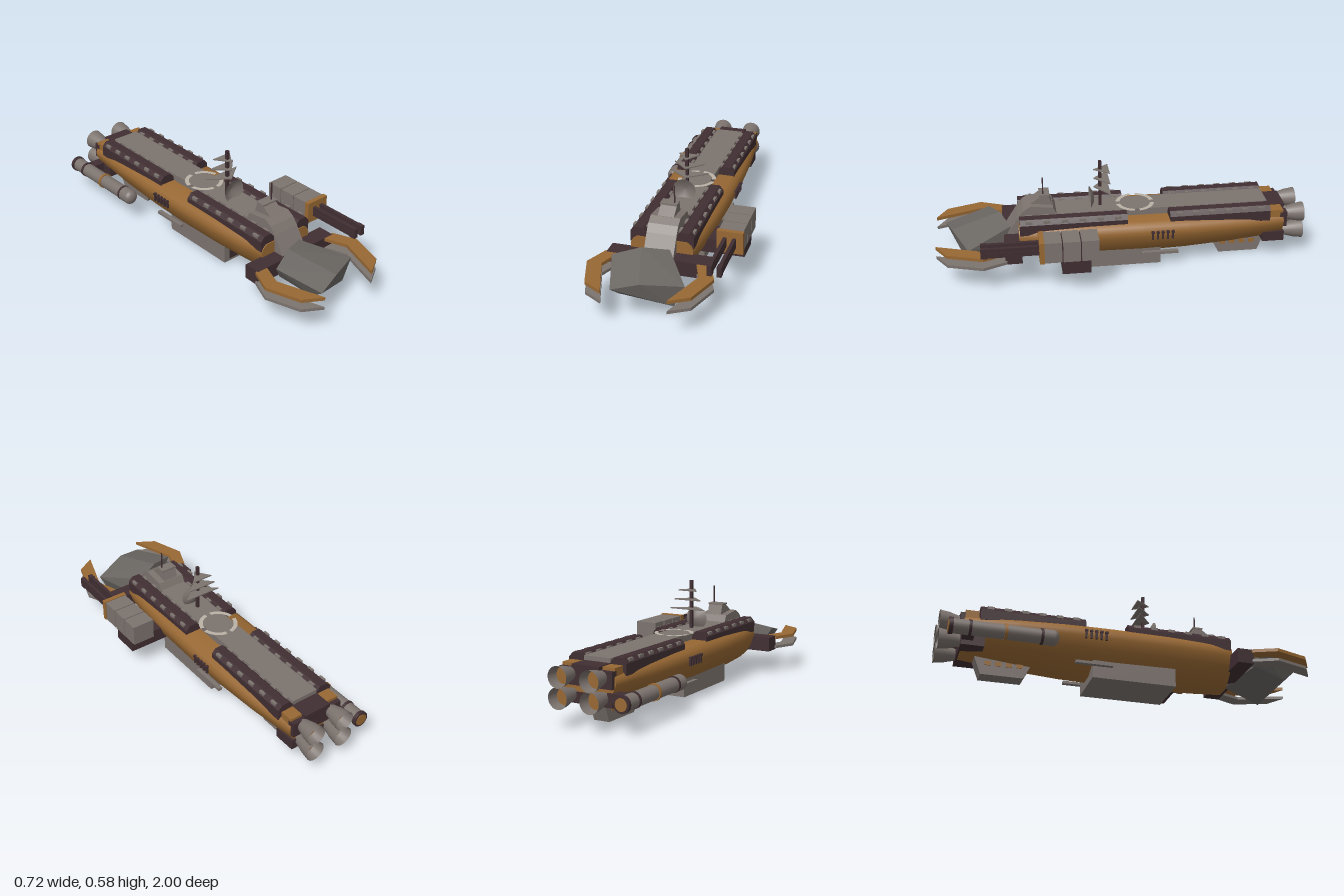
import * as THREE from 'three';
import { toCreasedNormals } from 'three/addons/utils/BufferGeometryUtils.js';
import { ConvexGeometry } from 'three/addons/geometries/ConvexGeometry.js';

const mat = (name, color, side = THREE.FrontSide) => {
  const m = new THREE.MeshStandardMaterial({ color, side });
  m.name = name;
  return m;
};

export function createModel() {
  const gold = mat('ochre', 0x986833);
  const dark = mat('darkBrown', 0x402e32);
  const grey = mat('warmGrey', 0x7c736e, THREE.DoubleSide);
  const stone = mat('noseGrey', 0x6b6763);
  const pale = mat('paleMarking', 0xbab2a6);

  const model = new THREE.Group();
  model.name = 'spaceship';
  const ship = new THREE.Group(); // symmetric parts around the hull axis
  ship.name = 'hullGroup';
  ship.position.x = -0.036;
  model.add(ship);

  const add = (parent, name, geo, material) => {
    const m = new THREE.Mesh(geo, material);
    m.name = name;
    parent.add(m);
    return m;
  };
  // Box given by its extents on each axis
  const box = (parent, name, material, [x0, x1], [y0, y1], [z0, z1]) => {
    const m = add(parent, name, new THREE.BoxGeometry(x1 - x0, y1 - y0, z1 - z0), material);
    m.position.set((x0 + x1) / 2, (y0 + y1) / 2, (z0 + z1) / 2);
    return m;
  };
  const extrude = (pts, depth) => new THREE.ExtrudeGeometry(
    new THREE.Shape(pts.map(p => new THREE.Vector2(...p))), { depth, bevelEnabled: false }
  ).translate(0, 0, -depth / 2);
  const sideProfile = (pts, width) => extrude(pts, width).rotateY(-Math.PI / 2); // points (z, y)
  const planProfile = (pts, height) => extrude(pts, height).rotateX(Math.PI / 2); // points (x, z)
  const cylZ = (parent, name, material, r, z0, z1, x, y) => {
    const m = add(parent, name, new THREE.CylinderGeometry(r, r, z1 - z0, 24).rotateX(Math.PI / 2), material);
    m.position.set(x, y, (z0 + z1) / 2);
    return m;
  };

  // Main hull lofted along z: [z, width scale, bottom, top]
  const half = [[0.045, 0], [0.09, 0.09], [0.14, 0.26], [0.175, 0.45], [0.197, 0.68], [0.2, 0.8], [0.187, 0.92], [0.16, 1]];
  const section = [...half, ...half.map(([x, y]) => [-x, y]).reverse()];
  const stations = [[0.56, 0.82, 0.07, 0.285], [0.4, 0.92, 0.062, 0.287], [0.2, 0.98, 0.056, 0.288], [-0.1, 1, 0.053, 0.288],
    [-0.35, 0.99, 0.06, 0.286], [-0.6, 0.93, 0.076, 0.28], [-0.88, 0.8, 0.102, 0.27]];
  const pos = [], idx = [], n = section.length;
  for (const [z, w, b, t] of stations)
    for (const [x, y] of section) pos.push(x * w, b + y * (t - b), z);
  for (let i = 0; i < stations.length - 1; i++)
    for (let j = 0; j < n; j++) {
      const k = (j + 1) % n, a = i * n + j, b = i * n + k, c = b + n, d = a + n;
      idx.push(a, d, c, a, c, b);
    }
  const last = (stations.length - 1) * n;
  for (let j = 1; j < n - 1; j++) idx.push(0, j, j + 1, last, last + j + 1, last + j);
  const hull = new THREE.BufferGeometry();
  hull.setAttribute('position', new THREE.Float32BufferAttribute(pos, 3));
  hull.setIndex(idx);
  add(ship, 'hull', toCreasedNormals(hull, 0.65), gold);

  // Deck and ring marking
  box(ship, 'deck', grey, [-0.077, 0.077], [0.25, 0.325], [-0.8, 0.5]);
  for (let i = 0; i < 4; i++) {
    const arc = add(ship, 'landingRing', new THREE.RingGeometry(0.083, 0.105, 16, 1, i * Math.PI / 2 + 0.14, Math.PI / 2 - 0.28).rotateX(-Math.PI / 2), pale);
    arc.position.set(0, 0.328, -0.08);
  }

  // Bridge, sloping down over the bow
  add(ship, 'bridgeBase', sideProfile([[0.35, 0.25], [0.35, 0.32], [0.37, 0.362], [0.49, 0.377], [0.53, 0.353], [0.56, 0.315], [0.62, 0.22], [0.54, 0.2]], 0.156), grey);
  add(ship, 'bridgeTower', sideProfile([[0.37, 0.35], [0.39, 0.418], [0.43, 0.418], [0.51, 0.36]], 0.085), grey);
  box(ship, 'bridgeRoof', grey, [-0.045, 0.045], [0.415, 0.424], [0.385, 0.44]);
  box(ship, 'bridgeAntenna', dark, [0.023, 0.029], [0.42, 0.52], [0.417, 0.423]);

  // Armoured rails with lamps on both chamfers
  const railShape = [[-0.045, 0.25], [0.045, 0.25], [0.045, 0.308], [0.023, 0.333], [-0.023, 0.333], [-0.045, 0.308]];
  for (const s of [-1, 1]) {
    for (const [z0, z1] of [[-0.8, -0.25], [-0.02, 0.555]]) {
      const rail = add(ship, 'deckRail', extrude(railShape, z1 - z0), dark);
      rail.position.set(s * 0.121, 0, (z0 + z1) / 2);
      for (let i = 0; i < 6; i++) for (const e of [-1, 1]) {
        const z = z0 + 0.05 + i * (z1 - z0 - 0.1) / 5, x = s * 0.121 + e * 0.035;
        box(ship, 'railLamp', grey, [x - 0.007, x + 0.007], [0.314, 0.329], [z - 0.018, z + 0.018]);
      }
    }
    // Exhaust pipes on the flanks
    for (let i = 0; i < 5; i++) {
      const z = -0.15 - i * 0.027, ends = [s * 0.18, s * 0.212].sort((a, b) => a - b);
      box(ship, 'flankPipe', dark, ends, [0.237, 0.247], [z - 0.008, z + 0.008]);
      box(ship, 'flankPipeLower', dark, [s * 0.202 - 0.006, s * 0.202 + 0.006], [0.2, 0.24], [z - 0.005, z + 0.005]);
    }
    // Mandibles: ochre blade above a grey one
    const blade = [[-0.272, 0.63], [-0.324, 0.755], [-0.264, 0.94], [-0.164, 1], [-0.247, 0.755], [-0.2, 0.63]].map(([x, z]) => [-s * x, z]);
    add(ship, 'upperMandible', planProfile(blade, 0.018), gold).position.y = 0.21;
    add(ship, 'lowerMandible', planProfile(blade, 0.016), grey).position.y = 0.155;
    // Belly details
    box(ship, 'bellyDoor', dark, [s * 0.056 - 0.044, s * 0.056 + 0.044], [0.03, 0.09], [0.24, 0.249]);
    box(ship, 'bellyBar', grey, [s * 0.145 - 0.012, s * 0.145 + 0.012], [0.079, 0.094], [-0.3, -0.1]);
    for (let i = 0; i < 4; i++) {
      const z = -0.57 - i * 0.055;
      box(ship, 'finWindow', gold, [s * 0.045 - 0.003, s * 0.045 + 0.003], [0.055, 0.077], [z - 0.016, z + 0.016]);
    }
    box(ship, 'sternCorner', gold, [s * 0.115 - 0.035, s * 0.115 + 0.035], [0.22, 0.3], [-0.875, -0.805]);
  }
  box(ship, 'bowCrossbar', dark, [-0.264, 0.261], [0.14, 0.22], [0.55, 0.64]);
  box(ship, 'bellyHold', grey, [-0.135, 0.135], [0.015, 0.115], [-0.205, 0.245]);
  add(ship, 'ventralFin', sideProfile([[-0.5, 0.1], [-0.55, 0.003], [-0.77, 0.003], [-0.81, 0.11]], 0.088), grey);

  // Sensor mast with triangular vanes and a dish
  box(ship, 'mast', dark, [-0.008, 0.008], [0.32, 0.588], [0.102, 0.118]);
  [[0.106, 0.434], [0.081, 0.485], [0.057, 0.536]].forEach(([w, y]) => {
    add(ship, 'mastVane', planProfile([[-w, 0.063], [w, 0.063], [0, 0.145]], 0.006), grey).position.y = y;
  });
  const dish = add(ship, 'dish', new THREE.LatheGeometry([[0, 0], [0.03, 0.005], [0.063, 0.024]].map(p => new THREE.Vector2(...p)), 24).rotateX(Math.PI / 2), grey);
  dish.position.set(0, 0.371, 0.142);

  // Stern and four engines
  box(ship, 'sternPlate', dark, [-0.15, 0.15], [0.2, 0.285], [-0.9, -0.86]);
  box(ship, 'sternCap', dark, [-0.078, 0.078], [0.24, 0.302], [-0.9, -0.8]);
  box(ship, 'sternLowerBlock', dark, [-0.145, 0.145], [0.11, 0.165], [-0.89, -0.77]);
  const bell = [[0.03, 0], [0.036, 0.03], [0.047, 0.07], [0.054, 0.12]].map(p => new THREE.Vector2(...p));
  for (const x of [-0.09, 0.09]) for (const y of [0.151, 0.253]) {
    add(ship, 'engineBell', new THREE.LatheGeometry(bell, 24).rotateX(-Math.PI / 2), grey).position.set(x, y, -0.88);
    cylZ(ship, 'engineCore', gold, 0.043, -0.945, -0.94, x, y);
  }

  // Tilted, faceted nose
  const nose = [[-0.245, 0.25, 0.71], [-0.11, 0.28, 0.655], [0.02, 0.255, 0.6], [0.165, 0.2, 0.83], [-0.035, 0.228, 0.915], [-0.17, 0.2, 0.95],
    [-0.155, 0.135, 0.87], [0.11, 0.083, 0.83], [-0.2, 0.175, 0.69], [0.03, 0.13, 0.6]].map(p => new THREE.Vector3(...p));
  add(model, 'nose', new ConvexGeometry(nose), stone);

  // Gun turret on the left flank
  box(model, 'gunPylon', dark, [0.1, 0.34], [0.127, 0.205], [0.2, 0.35]);
  box(model, 'gunCore', dark, [0.232, 0.346], [0.21, 0.314], [0.165, 0.44]);
  for (let i = 0; i < 3; i++)
    box(model, 'gunHousing', grey, [0.226, 0.352], [0.205, 0.32], [0.158 + i * 0.096, 0.248 + i * 0.096]);
  box(model, 'gunFacePlate', gold, [0.221, 0.358], [0.205, 0.324], [0.44, 0.466]);
  for (const x of [0.265, 0.314]) {
    box(model, 'gunBarrelUpper', dark, [x - 0.009, x + 0.009], [0.27, 0.292], [0.46, 0.76]);
    box(model, 'gunBarrelLower', dark, [x - 0.009, x + 0.009], [0.24, 0.268], [0.46, 0.76]);
    box(model, 'gunMuzzle', dark, [x - 0.012, x + 0.012], [0.239, 0.293], [0.73, 0.765]);
  }

  // Long pod on the right flank
  const px = -0.278, py = 0.157;
  cylZ(model, 'podTube', grey, 0.038, -0.955, -0.44, px, py);
  const cap = add(model, 'podNose', new THREE.SphereGeometry(0.041, 24, 12), grey);
  cap.scale.z = 0.75;
  cap.position.set(px, py, -0.44);
  cylZ(model, 'podCollar', grey, 0.041, -0.5, -0.44, px, py);
  for (const z of [-0.5, -0.86]) cylZ(model, 'podBand', dark, 0.042, z - 0.007, z + 0.007, px, py);
  cylZ(model, 'podStripe', gold, 0.043, -0.69, -0.675, px, py);
  cylZ(model, 'podEndRing', dark, 0.043, -0.965, -0.945, px, py);
  cylZ(model, 'podExhaust', gold, 0.032, -0.968, -0.96, px, py);
  box(model, 'podPylon', dark, [-0.25, -0.15], [0.135, 0.18], [-0.89, -0.83]);

  return model;
}
